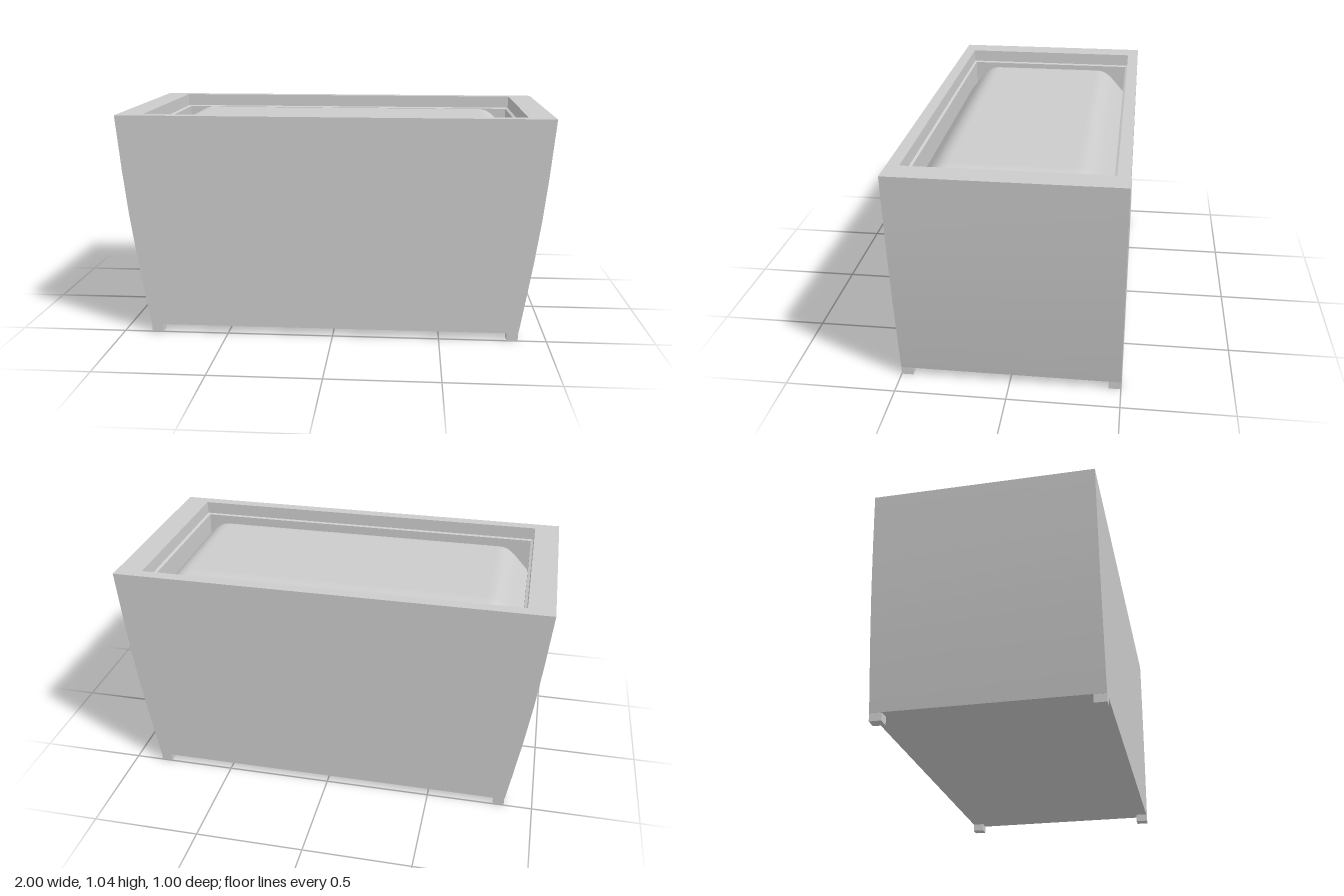
import * as THREE from 'three';
import { toCreasedNormals } from 'three/addons/utils/BufferGeometryUtils.js';

const material = new THREE.MeshStandardMaterial({ color: 0xcccccc, side: THREE.DoubleSide });

// Skin a stack of rectangles [half width, half depth, y], closed at the first one
function loftRectangles(sections) {
  const corners = [[-1, 1], [1, 1], [1, -1], [-1, -1]];
  const rings = sections.map(([hx, hz, y]) => corners.map(([sx, sz]) => [sx * hx, y, sz * hz]));
  const positions = [];
  const quad = (a, b, c, d) => positions.push(...a, ...b, ...c, ...a, ...c, ...d);
  quad(rings[0][3], rings[0][2], rings[0][1], rings[0][0]);
  for (let r = 0; r < rings.length - 1; r++) {
    for (let i = 0; i < 4; i++) {
      const j = (i + 1) % 4;
      quad(rings[r][i], rings[r][j], rings[r + 1][j], rings[r + 1][i]);
    }
  }
  const geometry = new THREE.BufferGeometry();
  geometry.setAttribute('position', new THREE.Float32BufferAttribute(positions, 3));
  return toCreasedNormals(geometry, 0.5);
}

// Soil filling: flat in the middle, rounding off into a slope near the walls
function soilGeometry(hx, hz, top) {
  const round = 0.15, steep = 0.06, slope = 1.2;
  const geometry = new THREE.PlaneGeometry(hx * 2, hz * 2, 96, 48).rotateX(-Math.PI / 2);
  const p = geometry.attributes.position;
  for (let i = 0; i < p.count; i++) {
    const qx = Math.max(Math.abs(p.getX(i)) - (hx - round), 0);
    const qz = Math.max(Math.abs(p.getZ(i)) - (hz - round), 0);
    const q = Math.hypot(qx, qz);
    const bend = round - steep;
    const drop = q < bend ? slope * q * q / (2 * bend) : slope * (q - bend / 2);
    p.setY(i, top - drop);
  }
  geometry.computeVertexNormals();
  return geometry;
}

export function createModel() {
  const group = new THREE.Group();
  const add = (name, geometry) => {
    const mesh = new THREE.Mesh(geometry, material);
    mesh.name = name;
    group.add(mesh);
    return mesh;
  };

  // Planter box: bowed flaring ends, flat rim and inner walls
  add('planterBox', loftRectangles([
    [0.869, 0.5, 0.037], [0.877, 0.5, 0.08], [0.897, 0.5, 0.2], [0.926, 0.5, 0.38],
    [0.954, 0.5, 0.58], [0.977, 0.5, 0.79], [1, 0.5, 1.04],
    [0.88, 0.445, 1.04], [0.878, 0.443, 0.98], [0.865, 0.432, 0.975], [0.865, 0.432, 0.75],
  ]));

  add('soil', soilGeometry(0.865, 0.432, 0.99));

  // Four small corner feet
  for (const sx of [-1, 1]) {
    for (const sz of [-1, 1]) {
      const foot = add('foot', new THREE.BoxGeometry(0.053, 0.037, 0.055));
      foot.position.set(sx * 0.8415, 0.0185, sz * 0.4725);
    }
  }
  return group;
}
